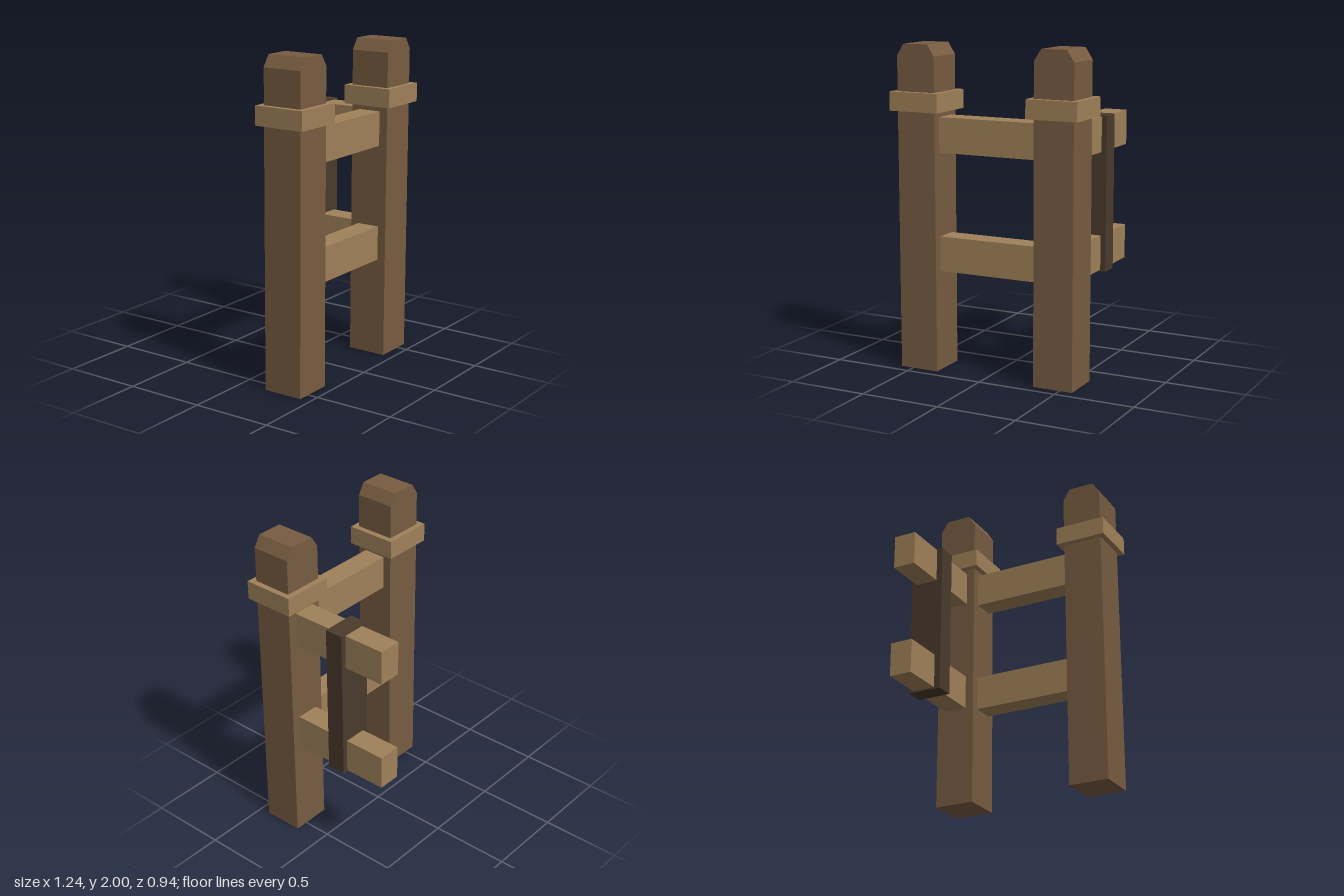
import * as THREE from 'three';

const material = (name, color) => {
  const m = new THREE.MeshStandardMaterial({ color });
  m.name = name;
  return m;
};

export function createModel() {
  const postWood = material('brown post wood', 0x785c41);
  const railWood = material('light rail wood', 0xa08159);
  const darkWood = material('dark batten wood', 0x4a3a2c);
  const model = new THREE.Group();
  model.name = 'cornerFence';

  const POST_X = 0.455, POST_Z = 0.307, POST_SIZE = 0.253;
  const RAIL_HEIGHT = 0.215, RAIL_DEPTH = 0.145;

  const add = (name, geometry, mat, x, y, z) => {
    const mesh = new THREE.Mesh(geometry, mat);
    mesh.name = name;
    mesh.position.set(x, y, z);
    model.add(mesh);
  };
  const box = (name, mat, [w, h, d], [x, y, z]) =>
    add(name, new THREE.BoxGeometry(w, h, d), mat, x, y, z);

  // Square post with its two side edges chamfered at the top
  const half = POST_SIZE / 2, flat = 0.081;
  const outline = new THREE.Shape([
    [-half, 0], [half, 0], [half, 1.93], [flat, 2], [-flat, 2], [-half, 1.93],
  ].map(([x, y]) => new THREE.Vector2(x, y)));
  const postGeometry = new THREE.ExtrudeGeometry(outline, { depth: POST_SIZE, bevelEnabled: false });
  postGeometry.translate(0, 0, -half);

  for (const [side, sign] of [['left', 1], ['right', -1]]) {
    add(side + 'Post', postGeometry, postWood, sign * POST_X, 0, POST_Z);
    // Collar around the post
    box(side + 'Collar', railWood, [0.325, 0.116, 0.325], [sign * POST_X, 1.657, POST_Z]);
  }

  // Two levels of rails: one across the front, one running back from the left post
  const inner = POST_X - half, back = -0.472, postBack = POST_Z - half;
  for (const [level, y] of [['lower', 0.731], ['upper', 1.459]]) {
    box(level + 'FrontRail', railWood, [2 * inner, RAIL_HEIGHT, RAIL_DEPTH], [0, y, POST_Z]);
    box(level + 'SideRail', railWood, [RAIL_DEPTH, RAIL_HEIGHT, postBack - back],
      [POST_X, y, (postBack + back) / 2]);
  }

  // Upright batten clasping both side rails
  box('batten', darkWood, [0.217, 0.96, 0.117], [0.452, 1.094, -0.145]);

  return model;
}
